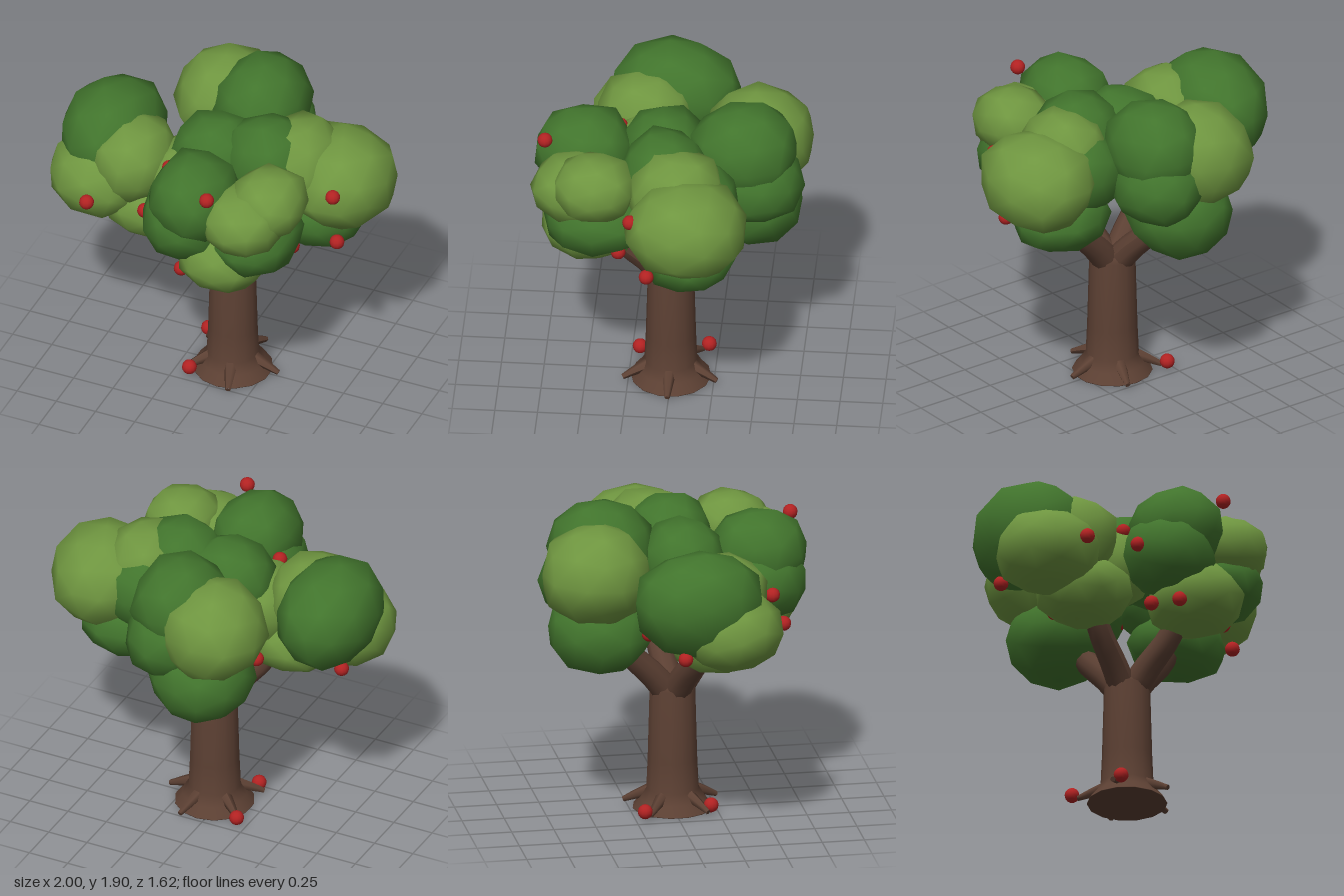
import * as THREE from 'three';
import { mergeVertices } from 'three/addons/utils/BufferGeometryUtils.js';

const mat = (name, color) => {
  const m = new THREE.MeshStandardMaterial({ color });
  m.name = name;
  return m;
};

// Small seeded generator for the leaf clump irregularity
function seeded(seed) {
  let s = seed;
  return () => (s = (s * 16807) % 2147483647) / 2147483647;
}

// Lumpy low-poly ball with smooth normals
function clumpGeometry(seed) {
  const rand = seeded(seed * 7919 + 17);
  let g = new THREE.IcosahedronGeometry(1, 1);
  g.deleteAttribute('uv');
  g.deleteAttribute('normal');
  g = mergeVertices(g, 1e-3);
  g.rotateX(rand() * 3).rotateY(rand() * 6);
  const p = g.attributes.position;
  const v = new THREE.Vector3();
  for (let i = 0; i < p.count; i++) {
    v.fromBufferAttribute(p, i);
    // slightly boxy rounding plus a little noise
    const box = 1 + 0.15 * (1 - Math.max(Math.abs(v.x), Math.abs(v.y), Math.abs(v.z)));
    v.multiplyScalar(box * (0.97 + 0.1 * rand()));
    p.setXYZ(i, v.x, v.y, v.z);
  }
  g.computeVertexNormals();
  return g;
}

// Tapered limb along a curve: a tube whose rings shrink toward the tip, closed by a cap
function limb(points, r0, r1, sides, material, name) {
  const curve = new THREE.CatmullRomCurve3(points.map((a) => new THREE.Vector3(...a)));
  const steps = 6;
  const g = new THREE.TubeGeometry(curve, steps, 1, sides, false);
  const p = g.attributes.position;
  const v = new THREE.Vector3();
  for (let i = 0; i < p.count; i++) {
    const t = Math.floor(i / (sides + 1)) / steps;
    const c = curve.getPointAt(t);
    v.fromBufferAttribute(p, i).sub(c).multiplyScalar(r0 + (r1 - r0) * t).add(c);
    p.setXYZ(i, v.x, v.y, v.z);
  }
  g.computeVertexNormals();
  const group = new THREE.Group();
  group.name = name;
  const tube = new THREE.Mesh(g, material);
  tube.name = name + 'Tube';
  const cap = new THREE.Mesh(new THREE.CircleGeometry(r1, sides), material);
  cap.name = name + 'Tip';
  cap.position.copy(curve.getPointAt(1));
  cap.lookAt(cap.position.clone().add(curve.getTangentAt(1)));
  group.add(tube, cap);
  return group;
}

export function createModel() {
  const bark = mat('bark brown', 0x5c4033);
  const light = mat('light leaf green', 0x6f9640);
  const dark = mat('dark leaf green', 0x42752d);
  const red = mat('fruit red', 0xb22222);
  const tree = new THREE.Group();
  tree.name = 'fruitTree';

  // Trunk with flared foot
  const wood = new THREE.Group();
  wood.name = 'wood';
  wood.position.set(0.047, 0, 0.005);
  tree.add(wood);
  const profile = [[0, 0], [0.235, 0], [0.235, 0.004], [0.19, 0.06], [0.155, 0.12],
    [0.147, 0.3], [0.135, 0.74], [0.1, 0.78], [0, 0.8]];
  const trunk = new THREE.Mesh(
    new THREE.LatheGeometry(profile.map(([x, y]) => new THREE.Vector2(x, y)), 14), bark);
  trunk.name = 'trunk';
  wood.add(trunk);

  const polar = (deg, r, y) => {
    const a = THREE.MathUtils.degToRad(deg);
    return [Math.cos(a) * r, y, Math.sin(a) * r];
  };
  // Five roots spread evenly round the foot
  for (let i = 0; i < 5; i++) {
    const at = (r, y) => polar(i * 72, r, y);
    wood.add(limb([at(0.12, 0.1), at(0.2, 0.07), at(0.29, 0.03)], 0.042, 0.016, 6, bark, 'root' + (i + 1)));
  }
  // Four thick branches
  [-10, 70, 160, 250].forEach((deg, i) => {
    const at = (r, y) => polar(deg, r, y);
    wood.add(limb([at(0.04, 0.72), at(0.13, 0.83), at(0.28, 0.98), at(0.36, 1.1)],
      0.085, 0.065, 10, bark, 'branch' + (i + 1)));
  });

  // Leaf clumps: colour, centre, radii
  const clumps = [
    // left cluster
    [dark, -0.70, 1.50, 0.03, 0.29, 0.30, 0.38],
    [light, -0.70, 1.33, 0.22, 0.30, 0.24, 0.30],
    [light, -0.50, 1.47, 0.19, 0.25, 0.25, 0.28],
    [light, -0.40, 1.18, 0.17, 0.27, 0.20, 0.26],
    // back cluster
    [light, -0.20, 1.54, -0.50, 0.31, 0.30, 0.32],
    [dark, 0.05, 1.61, -0.42, 0.28, 0.29, 0.31],
    [dark, 0.08, 1.42, -0.49, 0.26, 0.24, 0.28],
    [dark, -0.10, 1.18, -0.45, 0.30, 0.26, 0.31],
    // right cluster
    [light, 0.69, 1.47, -0.13, 0.31, 0.28, 0.35],
    [light, 0.45, 1.54, -0.06, 0.26, 0.28, 0.28],
    [dark, 0.42, 1.47, -0.18, 0.26, 0.25, 0.24],
    [dark, 0.53, 1.20, -0.14, 0.28, 0.20, 0.27],
    // front cluster
    [dark, 0.02, 1.56, 0.51, 0.25, 0.25, 0.29],
    [dark, -0.03, 1.40, 0.49, 0.25, 0.24, 0.29],
    [light, 0.35, 1.50, 0.53, 0.25, 0.19, 0.26],
    [light, 0.46, 1.58, 0.42, 0.22, 0.20, 0.24],
    [dark, 0.38, 1.32, 0.40, 0.25, 0.20, 0.32],
    [light, 0.20, 1.18, 0.46, 0.27, 0.21, 0.29],
    // middle cluster
    [dark, -0.04, 1.52, 0.05, 0.27, 0.27, 0.25],
    [dark, 0.28, 1.57, 0.02, 0.27, 0.27, 0.26],
    [light, -0.20, 1.37, 0.13, 0.24, 0.24, 0.28],
  ];
  clumps.forEach(([m, x, y, z, rx, ry, rz], i) => {
    const clump = new THREE.Mesh(clumpGeometry(i + 1).scale(rx, ry, rz), m);
    clump.name = 'leafClump' + (i + 1);
    clump.position.set(x, y, z);
    tree.add(clump);
  });

  // Fruit on the crown and two fallen on the ground
  const fruitGeometry = new THREE.SphereGeometry(0.044, 12, 8);
  const fruits = [
    [-0.65, 1.33, 0.54], [0.20, 1.72, 0.73], [0.765, 1.55, 0.19], [-0.28, 1.38, 0.54],
    [0.75, 1.16, 0.095], [0.545, 1.19, 0.275], [-0.09, 1.10, 0.42], [-0.02, 1.08, 0.60],
    [-0.22, 1.56, 0.32], [-0.33, 1.20, -0.20], [-0.82, 1.20, -0.07], [0.24, 1.34, -0.33],
    [-0.145, 0.06, 0.20], [-0.20, 0.06, -0.20],
  ];
  fruits.forEach((p, i) => {
    const fruit = new THREE.Mesh(fruitGeometry, red);
    fruit.name = 'fruit' + (i + 1);
    fruit.position.set(...p);
    tree.add(fruit);
  });

  return tree;
}
